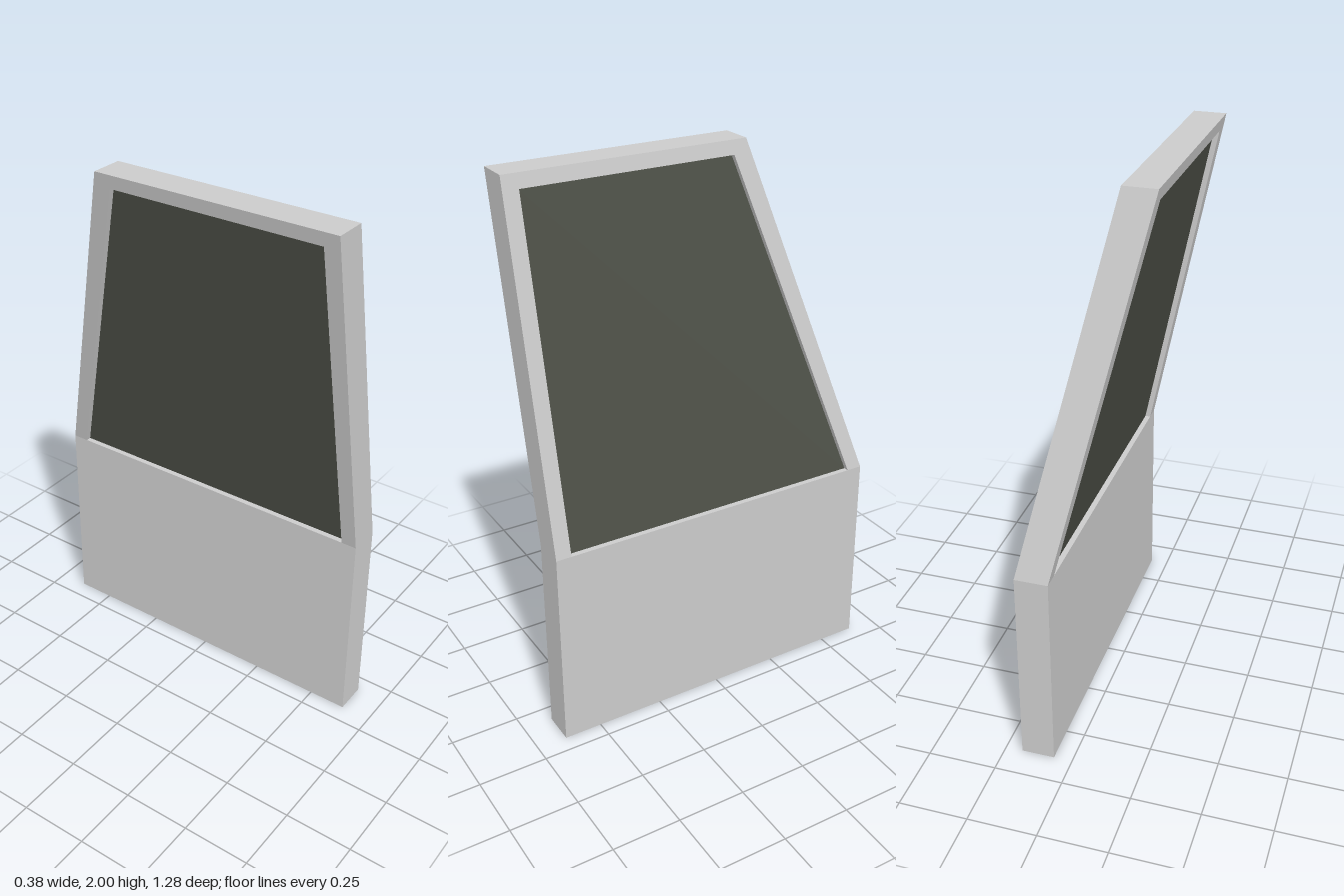
import * as THREE from 'three';

const WAIST = 0.75;          // height where the door starts to lean inward
const TOP = 2;
const INNER = 0.068, OUTER = 0.188;
const LEAN = 0.256 / (TOP - WAIST);

// Extrude a [z, y] outline along x from x0 to x1, leaning inward above the waist.
function slab(points, x0, x1) {
  const shape = new THREE.Shape(points.map(([z, y]) => new THREE.Vector2(-z, y)));
  const geo = new THREE.ExtrudeGeometry(shape, { depth: x1 - x0, bevelEnabled: false });
  geo.rotateY(Math.PI / 2).translate(x0, 0, 0);
  const pos = geo.attributes.position;
  for (let i = 0; i < pos.count; i++) {
    const rise = Math.max(0, pos.getY(i) - WAIST);
    pos.setX(i, pos.getX(i) - rise * LEAN);
  }
  geo.computeVertexNormals();
  return geo;
}

export function createModel() {
  const group = new THREE.Group();
  group.name = 'vehicleDoor';
  const body = new THREE.MeshStandardMaterial({ color: 0xcccccc, flatShading: true });
  const glass = new THREE.MeshStandardMaterial({ color: 0x4c4f46, flatShading: true });

  const add = (name, geo, mat) => {
    const mesh = new THREE.Mesh(geo, mat);
    mesh.name = name;
    group.add(mesh);
  };

  // Upright lower panel
  add('lowerPanel', slab([[0.64, 0], [0.64, WAIST], [-0.64, WAIST], [-0.64, 0]], INNER, OUTER), body);

  // Leaning frame, open at the waist
  const opening = [[0.583, WAIST], [0.583, 1.95], [-0.207, 1.95], [-0.58, WAIST]];
  add('windowFrame', slab([
    [0.64, WAIST], [0.64, TOP], [-0.26, TOP], [-0.64, WAIST],
    ...opening.slice().reverse(),
  ], INNER, OUTER), body);

  // Pane set back from both faces of the frame
  add('windowPane', slab(opening, INNER + 0.02, OUTER - 0.02), glass);

  return group;
}
